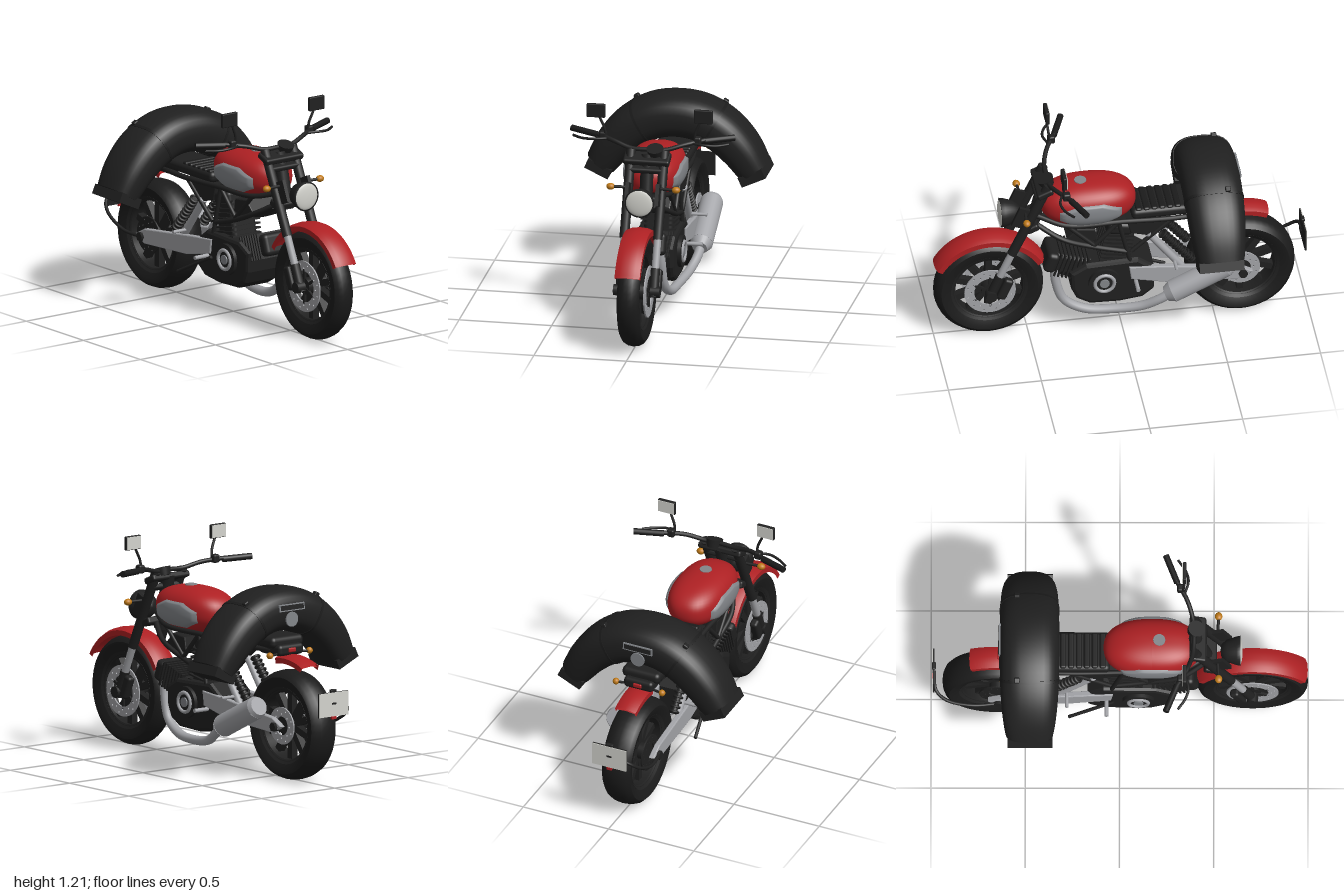
import * as THREE from 'three';
import { toCreasedNormals } from 'three/addons/utils/BufferGeometryUtils.js';
import { RoundedBoxGeometry } from 'three/addons/geometries/RoundedBoxGeometry.js';
import { ParametricGeometry } from 'three/addons/geometries/ParametricGeometry.js';

const V = (x, y, z) => new THREE.Vector3(x, y, z);
const mat = (name, color) => {
  const m = new THREE.MeshStandardMaterial({ color, side: THREE.DoubleSide });
  m.name = name;
  return m;
};

export function createModel() {
  const root = new THREE.Group();
  const black = mat('black', 0x202020), rubber = mat('rubber', 0x1b1b1b), red = mat('red paint', 0xae2023);
  const chrome = mat('chrome', 0xa3a4a8), steel = mat('grey panel', 0x83868a);
  const pale = mat('pale glass', 0xd3d3cd), amber = mat('amber', 0xbf7a18);

  // Helpers
  const add = (name, geo, m, x = 0, y = 0, z = 0, rx = 0, ry = 0, rz = 0, parent = root) => {
    const o = new THREE.Mesh(geo, m);
    o.name = name;
    o.position.set(x, y, z);
    o.rotation.set(rx, ry, rz);
    parent.add(o);
    return o;
  };
  const box = (w, h, d) => new THREE.BoxGeometry(w, h, d);
  const cyl = (r1, r2, h, n = 24) => new THREE.CylinderGeometry(r1, r2, h, n);
  const soft = (w, h, d, r) => new RoundedBoxGeometry(w, h, d, 3, r);
  const bar = (name, a, b, r, m, r2 = r, n = 14) => {
    const d = b.clone().sub(a);
    const o = add(name, cyl(r2, r, d.length(), n), m);
    o.position.copy(a).addScaledVector(d, 0.5);
    o.quaternion.setFromUnitVectors(V(0, 1, 0), d.normalize());
    return o;
  };
  const tube = (name, pts, r, m, seg = 32) =>
    add(name, new THREE.TubeGeometry(new THREE.CatmullRomCurve3(pts), seg, r, 12), m);
  // Profile of [radius, x] turned about the x axis, angle from +z towards +y
  const turned = (pts, start = 0, len = 360, seg = 48) => toCreasedNormals(new THREE.LatheGeometry(
    pts.map(p => new THREE.Vector2(p[0], p[1])), seg, start * Math.PI / 180, len * Math.PI / 180).rotateZ(Math.PI / 2), 0.6);
  // Outline in [z, y] extruded across x
  const slab = (pts, w, b = 0.006) => new THREE.ExtrudeGeometry(new THREE.Shape(pts.map(p => new THREE.Vector2(...p))),
    { depth: w - 2 * b, bevelSize: b, bevelThickness: b, bevelSegments: 2 }).translate(0, 0, b - w / 2).rotateY(-Math.PI / 2);
  const both = f => [-1, 1].forEach(f);
  const H = Math.PI / 2;

  // Wheels, the front one narrower
  const tyre = [[0.19, -0.055], [0.235, -0.08], [0.26, -0.083], [0.279, -0.066], [0.291, -0.036], [0.295, 0],
    [0.291, 0.036], [0.279, 0.066], [0.26, 0.083], [0.235, 0.08], [0.19, 0.055], [0.19, -0.055]];
  const rim = [[0.183, -0.05], [0.207, -0.066], [0.207, 0.066], [0.183, 0.05], [0.183, -0.05]];
  const disc = (R, r, n) => {
    const s = new THREE.Shape().absarc(0, 0, R, 0, Math.PI * 2);
    s.holes.push(new THREE.Path().absarc(0, 0, r, 0, Math.PI * 2, true));
    for (let i = 0; i < n; i++) {
      const a = i / n * Math.PI * 2, q = (R + r) / 2 + (i % 2 ? 0.01 : -0.01);
      s.holes.push(new THREE.Path().absarc(q * Math.cos(a), q * Math.sin(a), 0.005, 0, Math.PI * 2, true));
    }
    return new THREE.ExtrudeGeometry(s, { depth: 0.008, bevelEnabled: false, curveSegments: 32 }).translate(0, 0, -0.004).rotateY(H);
  };
  const wheel = (name, z, wide) => {
    const g = new THREE.Group();
    g.name = name;
    g.position.set(0, 0.295, z);
    root.add(g);
    const ring = pts => turned(pts.map(([r, x]) => [r, x * wide]));
    add('tyre', ring(tyre), rubber, 0, 0, 0, 0, 0, 0, g);
    add('rim', ring(rim), black, 0, 0, 0, 0, 0, 0, g);
    add('hub', cyl(0.045, 0.045, 0.13), black, 0, 0, 0, 0, 0, H, g);
    for (let i = 0; i < 10; i++) add('spoke', box(0.04, 0.165, 0.036).translate(0, 0.11, 0), black, 0, 0, 0, i * Math.PI / 5, 0, 0, g);
    return g;
  };
  const front = wheel('frontWheel', 0.705, 0.72), rear = wheel('rearWheel', -0.645, 1);
  both(s => {
    add('frontBrakeDisc', disc(0.138, 0.085, 24), chrome, s * 0.064, 0, 0, 0, 0, 0, front);
    for (let i = 0; i < 6; i++) add('discArm', box(0.012, 0.1, 0.014).translate(0, 0.045, 0), black, s * 0.062, 0, 0, i * Math.PI / 3, 0, 0, front);
    add('rearBrakeDisc', disc(0.1, 0.05, 16), s > 0 ? chrome : black, s * 0.072, 0, 0, 0, 0, 0, rear);
    add('axleNut', cyl(0.025, 0.025, 0.03, 6), black, s * 0.125, 0, 0, 0, 0, H, rear);
  });
  const guard = (r, w) => [[r - 0.04, -w], [r - 0.012, -w], [r, -w * 0.6], [r + 0.004, 0], [r, w * 0.6], [r - 0.012, w],
    [r - 0.04, w], [r - 0.018, w * 0.85], [r - 0.01, 0], [r - 0.018, -w * 0.85], [r - 0.04, -w]];
  add('frontFender', turned(guard(0.335, 0.068), 30, 121), red, 0, 0.295, 0.705);
  add('rearFender', turned(guard(0.372, 0.06), 78, 36), red, 0, 0.295, -0.645);

  // Fork, clamps and headlight
  both(s => {
    const x = s * 0.09;
    bar('forkUpper', V(x, 0.98, 0.395), V(x, 0.55, 0.592), 0.026, black);
    bar('forkTube', V(x, 0.56, 0.588), V(x, 0.37, 0.672), 0.02, chrome);
    bar('forkFoot', V(x, 0.41, 0.655), V(x, 0.27, 0.712), 0.026, black);
    add('brakeCaliper', soft(0.045, 0.13, 0.05, 0.015), black, s * 0.098, 0.33, 0.63, -0.4);
    add('axleCap', cyl(0.03, 0.03, 0.05), black, s * 0.1, 0.295, 0.705, 0, 0, H);
    add('headlightEar', box(0.02, 0.12, 0.09), black, s * 0.082, 0.775, 0.53, -0.4);
    bar('frontSignalStalk', V(s * 0.09, 0.81, 0.52), V(s * 0.16, 0.81, 0.525), 0.008, black);
    add('frontSignal', new THREE.SphereGeometry(0.02, 16, 10).scale(1.15, 0.9, 1), amber, s * 0.177, 0.81, 0.525);
    bar('rearSignalStalk', V(0, 0.68, -0.6), V(s * 0.12, 0.675, -0.62), 0.007, black);
    add('rearSignal', new THREE.SphereGeometry(0.018, 16, 10), amber, s * 0.135, 0.675, -0.62);
  });
  add('upperClamp', soft(0.25, 0.035, 0.09, 0.012), black, 0, 0.94, 0.415, 0.4);
  add('middleClamp', soft(0.2, 0.03, 0.06, 0.012), black, 0, 0.89, 0.435, 0.4);
  add('lowerClamp', soft(0.2, 0.04, 0.07, 0.012), black, 0, 0.7, 0.48, 0.4);
  bar('steeringHead', V(0, 0.96, 0.4), V(0, 0.66, 0.47), 0.035, black);
  add('axle', cyl(0.012, 0.012, 0.2), black, 0, 0.295, 0.705, 0, 0, H);
  const shell = [[0, -0.085], [0.035, -0.08], [0.06, -0.05], [0.076, 0], [0.08, 0.02], [0.072, 0.022]];
  const lathe = pts => new THREE.LatheGeometry(pts.map(p => new THREE.Vector2(...p)), 32).rotateX(H);
  add('headlightBucket', lathe(shell), black, 0, 0.763, 0.62);
  add('headlightLens', new THREE.SphereGeometry(0.073, 32, 10, 0, Math.PI * 2, 0, H).scale(1, 0.2, 1).rotateX(H), pale, 0, 0.763, 0.638);

  // Handlebar, levers, mirrors and gauge
  tube('handlebar', [[-0.3, 1.026, 0.3], [-0.19, 1.01, 0.36], [-0.09, 0.985, 0.39], [0, 0.985, 0.395],
    [0.09, 0.985, 0.39], [0.19, 1.01, 0.36], [0.3, 1.026, 0.3]].map(p => V(...p)), 0.012, black, 48);
  both(s => {
    bar('grip', V(s * 0.29, 1.02, 0.305), V(s * 0.44, 1.028, 0.245), 0.017, rubber);
    add('switchBlock', soft(0.04, 0.045, 0.04, 0.01), black, s * 0.255, 1.025, 0.325);
    tube('lever', [V(s * 0.23, 1.015, 0.345), V(s * 0.3, 1.015, 0.365), V(s * 0.36, 1.01, 0.35), V(s * 0.42, 1.01, 0.31)], 0.007, black, 16);
    tube('mirrorStalk', [V(s * 0.24, 1.02, 0.335), V(s * 0.245, 1.07, 0.34), V(s * 0.265, 1.12, 0.345), V(s * 0.28, 1.16, 0.347)], 0.007, black, 16);
    add('mirrorHousing', soft(0.1, 0.075, 0.02, 0.005), black, s * 0.29, 1.168, 0.345);
    add('mirrorGlass', box(0.092, 0.067, 0.004), pale, s * 0.29, 1.168, 0.3335);
  });
  add('gauge', cyl(0.046, 0.036, 0.045), black, 0.04, 0.975, 0.4, 0.35);

  // Fuel tank, a rounded superellipsoid, with raised side panels wrapped onto it
  const n = 2.4, T = { x: 0.152, y: 0.12, z: 0.257, cy: 0.81, cz: 0.172 };
  const tank = new THREE.SphereGeometry(1, 48, 32), tp = tank.attributes.position;
  for (let i = 0; i < tp.count; i++) {
    const v = V(0, 0, 0).fromBufferAttribute(tp, i);
    v.multiplyScalar((Math.abs(v.x) ** n + Math.abs(v.y) ** n + Math.abs(v.z) ** n) ** (-1 / n));
    tp.setXYZ(i, v.x * T.x, v.y * T.y, v.z * T.z);
  }
  tank.computeVertexNormals();
  add('fuelTank', tank, red, 0, T.cy, T.cz);
  both(s => {
    const g = new THREE.RingGeometry(0, 1, 48, 10), p = g.attributes.position;
    for (let i = 0; i < p.count; i++) {
      const a = Math.atan2(p.getY(i), p.getX(i)) + Math.PI * 2 + Math.PI / 8;
      const k = 1 / Math.cos(a % (Math.PI / 4) - Math.PI / 8);
      const raised = Math.hypot(p.getX(i), p.getY(i)) > 0.99 ? 0.002 : 0.013;
      const z = p.getX(i) * k * 0.167, y = p.getY(i) * k * 0.069 - 0.019;
      const q = 1 - Math.abs(z / T.z) ** n - Math.abs(y / T.y) ** n;
      p.setXYZ(i, s * (T.x * q ** (1 / n) + raised), y, z);
    }
    g.computeVertexNormals();
    add('tankPanel', g, steel, 0, T.cy, T.cz);
  });
  add('fuelCap', cyl(0.032, 0.034, 0.012), steel, 0, 0.927, 0.21);

  // Seat, tail and frame
  add('seat', soft(0.22, 0.06, 0.56, 0.025), black, 0, 0.735, -0.33);
  for (let i = 0; i < 6; i++) add('seatRib', soft(0.2, 0.025, 0.034, 0.011), rubber, 0, 0.76, -0.09 - i * 0.042);
  add('tailUnit', soft(0.17, 0.06, 0.18, 0.02), black, 0, 0.695, -0.55);
  add('tailLight', soft(0.05, 0.024, 0.016, 0.007), red, 0, 0.695, -0.64);
  add('batteryBox', slab([[-0.03, 0.7], [-0.25, 0.7], [-0.24, 0.64], [-0.16, 0.59], [-0.05, 0.62]], 0.2), black);
  add('airBox', slab([[0.29, 0.62], [0.24, 0.67], [0.15, 0.66], [0.14, 0.6], [0.2, 0.57]], 0.2), black);
  both(s => {
    const x = s * 0.1;
    tube('topRail', [V(s * 0.04, 0.75, 0.45), V(x, 0.71, 0.3), V(x, 0.7, 0), V(x, 0.69, -0.3), V(s * 0.07, 0.69, -0.58)], 0.014, black);
    tube('downTube', [V(s * 0.04, 0.7, 0.46), V(x, 0.62, 0.32), V(x, 0.55, 0.15), V(x, 0.5, -0.02)], 0.014, black);
    [[0.3, 0.71, 0.15, 0.56], [0.15, 0.56, 0.02, 0.7], [0.02, 0.7, -0.06, 0.36], [-0.05, 0.5, -0.27, 0.69]]
      .forEach(([z1, y1, z2, y2]) => bar('frameStrut', V(x, y1, z1), V(x, y2, z2), 0.012, black));
    // Rear suspension
    add('swingArm', slab([[-0.04, 0.4], [-0.2, 0.385], [-0.62, 0.335], [-0.69, 0.3], [-0.62, 0.265], [-0.25, 0.285], [-0.05, 0.33]], 0.032), chrome, s * 0.108);
    bar('shockStrut', V(x * 0.9, 0.6, -0.14), V(x * 0.9, 0.36, -0.32), 0.02, chrome);
    const a = V(x * 0.9, 0.585, -0.22), b = V(x * 0.9, 0.4, -0.375);
    bar('shockBody', a, b, 0.016, black);
    for (let i = 0; i < 10; i++) {
      const p = a.clone().lerp(b, i / 9);
      add('springCoil', new THREE.TorusGeometry(0.022, 0.007, 6, 16), black, p.x, p.y, p.z, H + 0.7);
    }
    bar('riderPeg', V(s * 0.1, 0.31, -0.07), V(s * 0.205, 0.31, -0.07), 0.011, chrome);
    bar('passengerPeg', V(s * 0.1, 0.405, -0.28), V(s * 0.19, 0.405, -0.28), 0.009, chrome);
  });
  bar('kickstand', V(-0.125, 0.31, -0.03), V(-0.165, 0.19, -0.27), 0.009, black);

  // Engine with two finned cylinders
  add('crankcase', slab([[0.26, 0.38], [0.19, 0.42], [-0.08, 0.43], [-0.15, 0.38], [-0.15, 0.25], [-0.1, 0.21], [0.02, 0.195],
    [0.17, 0.2], [0.23, 0.235], [0.255, 0.29]], 0.23, 0.02), black);
  both(s => {
    add('engineCover', cyl(0.085, 0.085, 0.03, 32), black, s * 0.12, 0.325, 0.1, 0, 0, H);
    add('coverRing', new THREE.TorusGeometry(0.052, 0.01, 8, 32), chrome, s * 0.136, 0.325, 0.1, 0, H);
    add('coverHub', cyl(0.026, 0.026, 0.02), steel, s * 0.132, 0.325, 0.1, 0, 0, H);
  });
  const cylinder = (name, y, z, tilt, len, deep) => {
    const g = new THREE.Group();
    g.name = name;
    g.position.set(0, y, z);
    g.rotation.x = tilt;
    root.add(g);
    add('barrel', soft(0.16, len, deep, 0.025), black, 0, len / 2, 0, 0, 0, 0, g);
    for (let i = 0; i < 8; i++) add('fin', box(0.19, 0.009, deep + 0.018), black, 0, len * (0.15 + i * 0.085), 0, 0, 0, 0, g);
    add('cylinderHead', soft(0.19, len * 0.26, deep, 0.025), black, 0, len * 0.87, 0, 0, 0, 0, g);
  };
  cylinder('frontCylinder', 0.38, 0.16, 1.25, 0.26, 0.12);
  cylinder('rearCylinder', 0.39, 0.05, -0.17, 0.29, 0.14);

  // Exhaust
  tube('exhaustPipe', [[0.06, 0.42, 0.36], [0.065, 0.32, 0.352], [0.072, 0.2, 0.31], [0.085, 0.135, 0.2], [0.1, 0.125, 0.04],
    [0.13, 0.15, -0.1], [0.155, 0.2, -0.19], [0.163, 0.245, -0.26]].map(p => V(...p)), 0.025, chrome, 48);
  bar('mufflerCone', V(0.161, 0.235, -0.225), V(0.163, 0.252, -0.262), 0.04, chrome, 0.061, 24);
  bar('muffler', V(0.163, 0.252, -0.262), V(0.165, 0.39, -0.545), 0.061, chrome, 0.061, 24);
  bar('mufflerTip', V(0.165, 0.39, -0.545), V(0.165, 0.4, -0.565), 0.061, chrome, 0.05, 24);

  // Saddlebag arched over the seat
  const arch = new THREE.CatmullRomCurve3([[-0.412, 0.61], [-0.335, 0.725], [-0.238, 0.82], [-0.122, 0.882], [0, 0.9],
    [0.122, 0.882], [0.238, 0.82], [0.335, 0.725], [0.412, 0.61]].map(p => V(p[0], p[1], 0)));
  const bag = (u0, u1, grow, N) => toCreasedNormals(new ParametricGeometry((v, u, out) => {
    const i = u * N, w = u0 + (u1 - u0) * Math.min(Math.max((i - 1) / (N - 2), 0), 1);
    const open = i < 0.5 || i > N - 0.5 ? 0 : 1;
    const p = arch.getPointAt(w), t = arch.getTangentAt(w), e = Math.abs(2 * w - 1) ** 3;
    const c = Math.cos(v * Math.PI * 2), s = Math.sin(v * Math.PI * 2);
    const a = (0.118 - 0.031 * e + grow) * open * Math.sign(c) * Math.abs(c) ** 0.75;
    const b = (0.158 - 0.032 * e + grow) * open * Math.sign(s) * Math.abs(s) ** 0.75;
    out.set(p.x - t.y * a, p.y + t.x * a, -0.478 + b);
  }, 32, N), 0.7);
  add('saddlebag', bag(0, 1, 0, 42), black);
  both(s => {
    const u = 0.5 + s * 0.19;
    add('bagStrap', bag(u - 0.006, u + 0.006, 0.003, 6), rubber);
    add('bagBuckle', soft(0.03, 0.03, 0.03, 0.006), black, s * 0.238, 0.953, -0.545, 0, 0, -s * 0.5);
    add('bagFlap', box(0.14, 0.055, 0.24), black, s * 0.415, 0.596, -0.475, 0, 0, s * 0.43);
  });
  add('bagBadge', cyl(0.04, 0.04, 0.009, 24), steel, 0, 0.86, -0.638, H);
  add('bagTrim', box(0.17, 0.038, 0.009), steel, 0, 0.925, -0.637, 0.1);
  add('bagTrimInset', box(0.156, 0.026, 0.006), black, 0, 0.925, -0.6395, 0.1);

  // Number plate on a side arm
  tube('plateArm', [V(-0.13, 0.295, -0.65), V(-0.145, 0.31, -0.78), V(-0.14, 0.38, -0.92), V(-0.1, 0.43, -0.975), V(0, 0.45, -0.982)], 0.009, black);
  add('plateBack', box(0.2, 0.13, 0.008), black, 0, 0.45, -0.985);
  add('plateFace', box(0.198, 0.128, 0.005), pale, 0, 0.45, -0.991);
  add('plateBolt', box(0.03, 0.01, 0.004), black, 0, 0.455, -0.994);
  add('plateReflector', box(0.03, 0.014, 0.012), red, 0, 0.378, -0.99);
  add('plateLamp', soft(0.04, 0.016, 0.02, 0.005), black, 0, 0.523, -0.985);
  return root;
}
